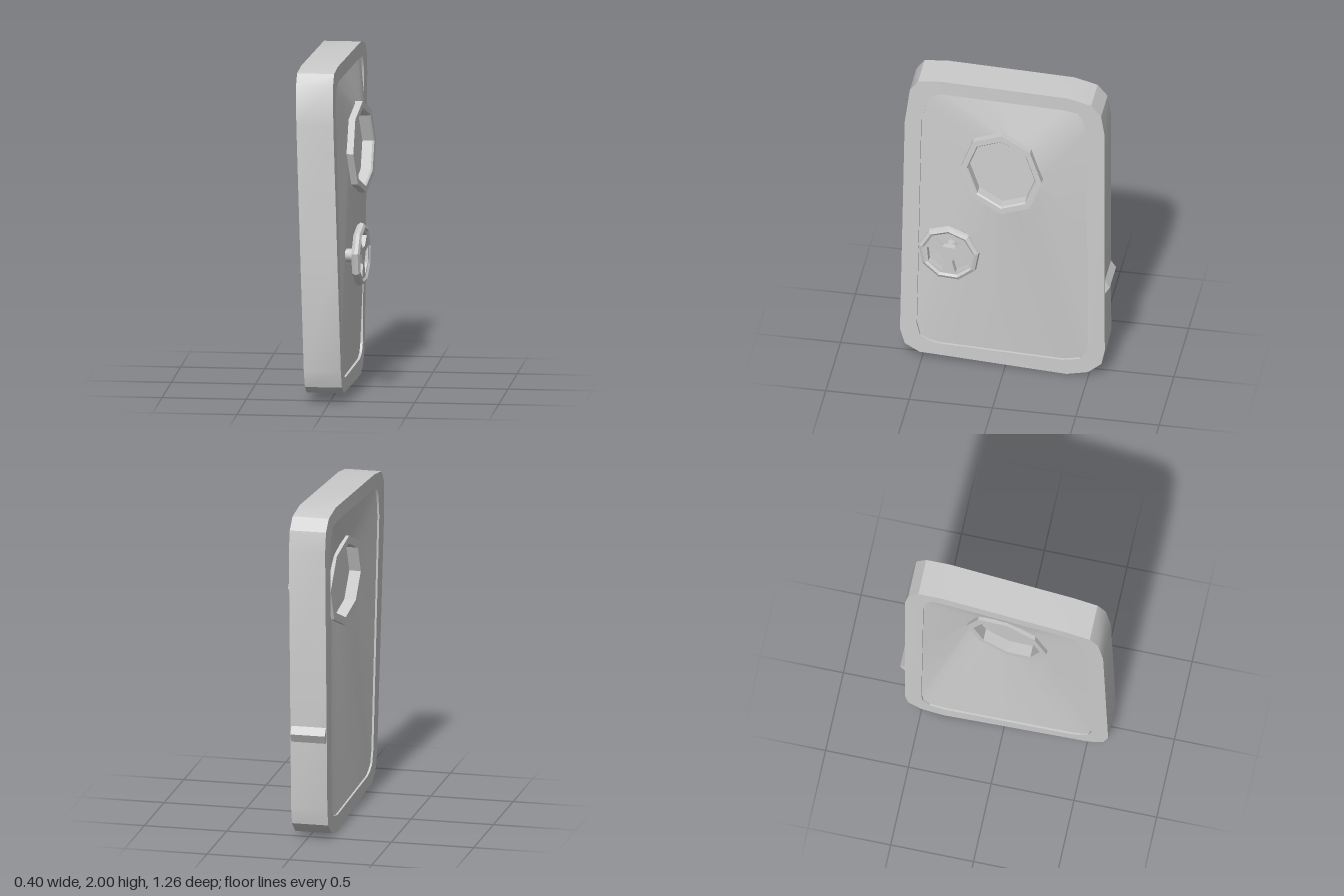
import * as THREE from 'three';
import { toCreasedNormals } from 'three/addons/utils/BufferGeometryUtils.js';

const material = new THREE.MeshStandardMaterial({ color: 0xcccccc, side: THREE.DoubleSide });

function add(group, geometry, name, crease = 0.2) {
  const mesh = new THREE.Mesh(toCreasedNormals(geometry, crease), material);
  mesh.name = name;
  group.add(mesh);
}

// Closed loops of equal length joined by strips
function loft(loops) {
  const n = loops[0].length, index = [];
  for (let r = 0; r < loops.length - 1; r++) {
    for (let i = 0; i < n; i++) {
      const a = r * n + i, b = r * n + (i + 1) % n;
      index.push(a, a + n, b + n, a, b + n, b);
    }
  }
  const g = new THREE.BufferGeometry();
  g.setAttribute('position', new THREE.Float32BufferAttribute(loops.flat(2), 3));
  g.setIndex(index);
  return g;
}

// Four points per corner, plus the middle of each side
const withMiddles = (pts) => pts.flatMap((p, i) => {
  if (i % 4) return [p];
  const q = pts[(i + 15) % 16];
  return [[(p[0] + q[0]) / 2, (p[1] + q[1]) / 2], p];
});

// Outlines as [-z, y], counter-clockwise
const outer = withMiddles([
  [0.6, 1.78], [0.58, 1.9], [0.52, 1.97], [0.38, 2],
  [-0.39, 1.99], [-0.53, 1.97], [-0.58, 1.9], [-0.61, 1.67],
  [-0.63, 0.2], [-0.6, 0.1], [-0.51, 0.05], [-0.4, 0.045],
  [0.37, 0], [0.5, 0.03], [0.58, 0.1], [0.6, 0.2],
]);
const inner = withMiddles([
  [0.49, 1.75], [0.48, 1.83], [0.44, 1.9], [0.35, 1.91],
  [-0.39, 1.9], [-0.45, 1.88], [-0.48, 1.83], [-0.51, 1.7],
  [-0.53, 0.25], [-0.51, 0.17], [-0.46, 0.14], [-0.4, 0.125],
  [0.35, 0.1], [0.45, 0.12], [0.49, 0.17], [0.5, 0.25],
]);

// Porthole placement and lean
const port = { y: 1.44, z: 0.01, ry: 0.275, rz: 0.25 };
const portLean = (y, z) => -0.16 * (z - port.z) - 0.04 * (y - port.y);

// Twist of the slab: middle of its thickness at a given height and depth
const twist = (y, z) => {
  const t = y / 2, f = (z + 0.6) / 1.2;
  return -0.027 + t * (-0.063 * f + 0.017 * (1 - f));
};

const onSlab = (outline, x) => outline.map(([u, y]) => [twist(y, -u) + x, y, -u]);
const onPort = (x) => outer.map((_, k) => {
  const a = k / outer.length * Math.PI * 2;
  const y = port.y + 0.91 * port.ry * Math.sin(a), z = port.z - 0.91 * port.rz * Math.cos(a);
  return [portLean(y, z) + x, y, z];
});

function makePorthole() {
  const g = new THREE.Group();
  g.name = 'porthole';
  // Lay along x, size it, then lean it by a shear
  const place = (geo) => {
    geo.rotateZ(-Math.PI / 2).scale(1, port.ry, port.rz).translate(0, port.y, port.z);
    const p = geo.attributes.position;
    for (let i = 0; i < p.count; i++) p.setX(i, p.getX(i) + portLean(p.getY(i), p.getZ(i)));
    return geo;
  };
  // Frame through the slab
  const profile = [[0.83, -0.11], [1, -0.11], [1, 0.15], [0.86, 0.15], [0.83, 0.14], [0.83, -0.11]]
    .map(([r, y]) => new THREE.Vector2(r, y));
  add(g, place(new THREE.LatheGeometry(profile, 8)), 'portholeFrame');
  // Pane
  const pane = new THREE.CylinderGeometry(0.86, 0.86, 0.12, 8).translate(0, 0.02, 0);
  add(g, place(pane), 'portholePane');
  return g;
}

function makeWheel() {
  const g = new THREE.Group();
  g.name = 'handWheel';
  const head = new THREE.Group();
  head.name = 'wheelHead';
  // Nine-sided rim, one corner at the top
  const profile = [[0.15, -0.025], [0.175, -0.025], [0.19, -0.005], [0.185, 0.015],
    [0.165, 0.025], [0.15, 0.015], [0.15, -0.025]].map(([r, y]) => new THREE.Vector2(r, y));
  const rim = new THREE.LatheGeometry(profile, 9).rotateY(-Math.PI / 2).rotateZ(-Math.PI / 2);
  add(head, rim, 'wheelRim');
  // Web with three openings between the spokes
  const disc = new THREE.Shape();
  for (let k = 0; k < 9; k++) {
    const a = Math.PI / 2 + k * Math.PI * 2 / 9;
    disc[k ? 'lineTo' : 'moveTo'](0.16 * Math.cos(a), 0.16 * Math.sin(a));
  }
  for (let k = 0; k < 3; k++) {
    const pts = [[-0.09, 0.1], [-0.035, 0.045], [0.035, 0.045], [0.09, 0.1], [0, 0.142]];
    disc.holes.push(new THREE.Path(pts.map(([x, y]) =>
      new THREE.Vector2(x, y).rotateAround(new THREE.Vector2(), k * Math.PI * 2 / 3))));
  }
  const web = new THREE.ExtrudeGeometry(disc, { depth: 0.035, bevelEnabled: false });
  add(head, web.translate(0, 0, -0.02).rotateY(Math.PI / 2), 'wheelSpokes');
  head.position.set(0.164, 0.852, 0.32);
  head.rotation.y = -0.09;
  g.add(head);
  // Shaft
  const shaft = new THREE.CylinderGeometry(0.04, 0.04, 0.14, 8).rotateZ(Math.PI / 2);
  add(g, shaft.translate(0.09, 0.845, 0.32), 'wheelShaft', 0.9);
  return g;
}

export function createModel() {
  const model = new THREE.Group();
  model.name = 'hatchDoor';
  const half = 0.11;

  // Twisted slab: raised rims with inset panels that lean to meet the porthole
  add(model, loft([
    onPort(0.11),
    onSlab(inner, half - 0.015),
    onSlab(inner, half),
    onSlab(outer, half),
    onSlab(outer, -half),
    onSlab(inner, -half),
    onSlab(inner, -half + 0.012),
    onPort(-0.085),
  ]), 'doorSlab', 0.5);

  model.add(makePorthole(), makeWheel());

  // Small ridge across the rear edge
  const ridge = new THREE.Shape([[0.59, 0.59], [0.63, 0.66], [0.59, 0.72]]
    .map(([u, y]) => new THREE.Vector2(u, y)));
  const ridgeGeo = new THREE.ExtrudeGeometry(ridge, { depth: 0.21, bevelEnabled: false });
  add(model, ridgeGeo.rotateY(Math.PI / 2).translate(-0.127, 0, 0), 'edgeRidge');

  return model;
}
